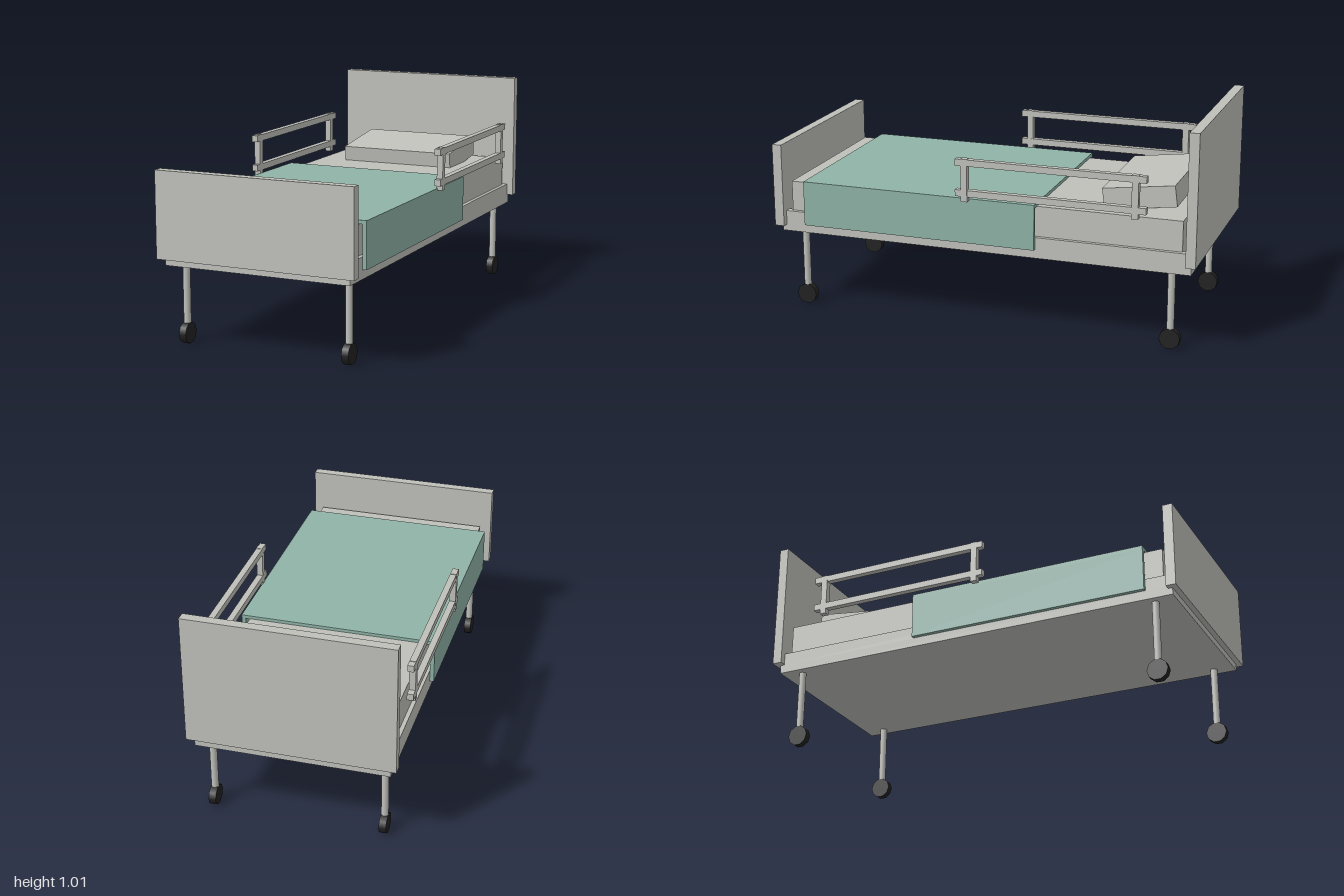
import * as THREE from 'three';

const paint = (name, color) => {
  const m = new THREE.MeshStandardMaterial({ color });
  m.name = name;
  return m;
};

export function createModel() {
  const bed = new THREE.Group();
  bed.name = 'hospitalBed';
  const grey = paint('pale grey', 0xc0c0bb);
  const green = paint('blanket green', 0x8fb3a8);
  const black = paint('wheel black', 0x222222);

  const add = (name, geometry, material, x, y, z) => {
    const mesh = new THREE.Mesh(geometry, material);
    mesh.name = name;
    mesh.position.set(x, y, z);
    bed.add(mesh);
    return mesh;
  };
  // Box given by its lower and upper limits on each axis
  const box = (name, material, [x0, x1], [y0, y1], [z0, z1]) =>
    add(name, new THREE.BoxGeometry(x1 - x0, y1 - y0, z1 - z0), material,
      (x0 + x1) / 2, (y0 + y1) / 2, (z0 + z1) / 2);
  // Limits of a box mirrored to either side of x = 0
  const sided = (s, a, b) => (s > 0 ? [a, b] : [-b, -a]);

  // Deck, mattress and end boards
  box('deck', grey, [-0.437, 0.437], [0.363, 0.403], [-0.975, 0.975]);
  box('mattress', grey, [-0.418, 0.418], [0.403, 0.6], [-0.93, 0.93]);
  box('headboard', grey, [-0.467, 0.467], [0.405, 1.007], [-1, -0.955]);
  box('footboard', grey, [-0.467, 0.467], [0.393, 0.783], [0.955, 1]);

  // Tilted pillow
  const pillow = add('pillow', new THREE.BoxGeometry(0.566, 0.097, 0.334), grey, 0, 0.644, -0.699);
  pillow.rotation.x = 0.129;

  // Blanket top
  box('blanketTop', green, [-0.457, 0.457], [0.598, 0.615], [-0.267, 0.853]);

  const legGeometry = new THREE.CylinderGeometry(0.0165, 0.0165, 0.315, 16);
  const wheelGeometry = new THREE.CylinderGeometry(0.048, 0.048, 0.033, 10);
  wheelGeometry.rotateZ(Math.PI / 2);

  for (const s of [-1, 1]) {
    // Frame rail and hanging side of the blanket
    box('frameRail', grey, sided(s, 0.405, 0.437), [0.403, 0.46], [-0.955, 0.955]);
    box('blanketSide', green, sided(s, 0.438, 0.457), [0.405, 0.598], [-0.267, 0.853]);

    // Guard rail: two bars and two posts
    for (const y of [0.645, 0.786])
      box('guardBar', grey, sided(s, 0.453, 0.482), [y - 0.015, y + 0.015], [-0.78, 0.095]);
    for (const z of [-0.73, 0.053])
      box('guardPost', grey, sided(s, 0.4535, 0.4825), [0.606, 0.803], [z - 0.015, z + 0.015]);

    // Legs and wheels
    for (const z of [-0.88, 0.88]) {
      add('leg', legGeometry, grey, s * 0.39, 0.2065, z);
      add('wheel', wheelGeometry, black, s * 0.39, 0.046, z);
    }
  }
  return bed;
}
